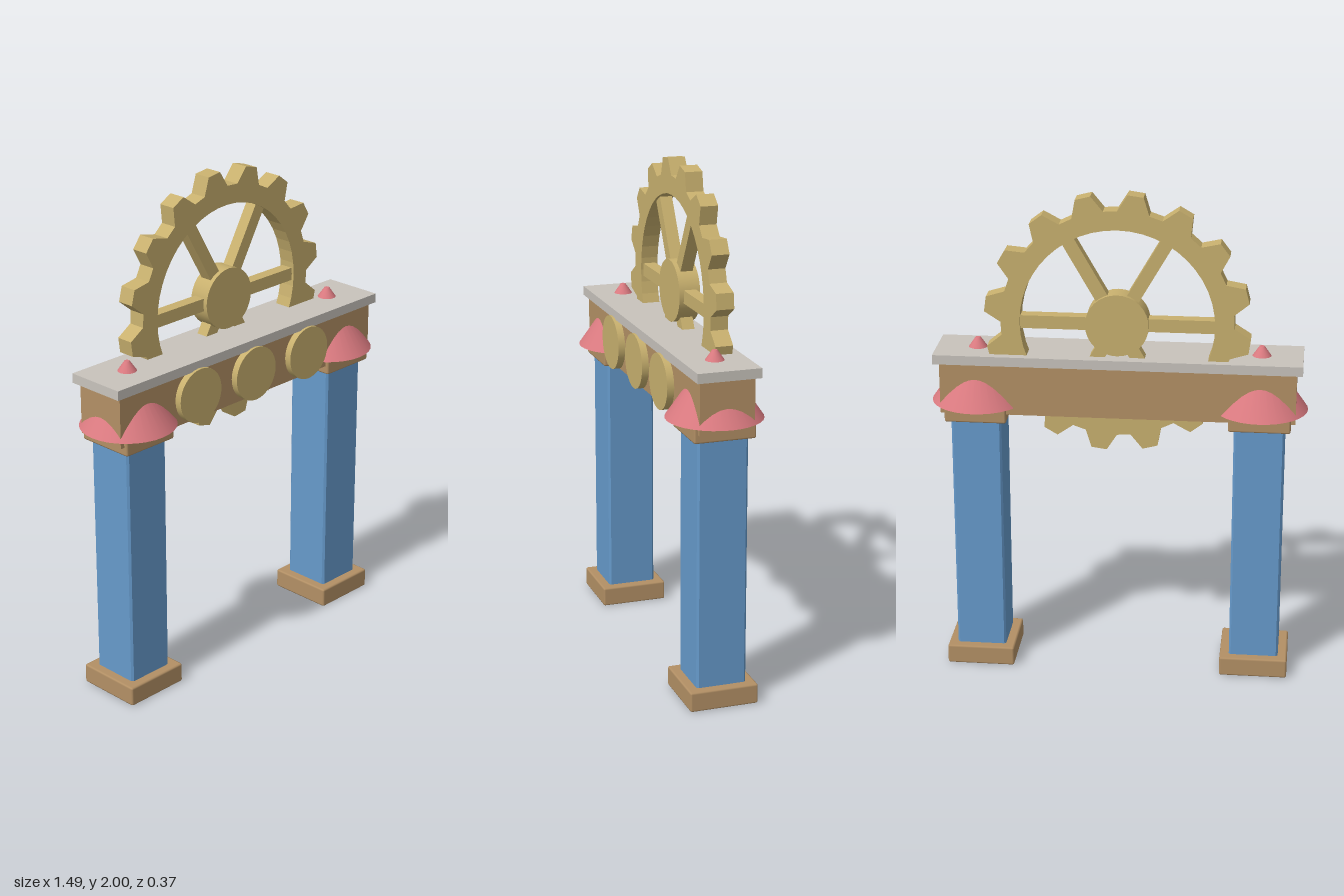
import * as THREE from 'three';
import { RoundedBoxGeometry } from 'three/addons/geometries/RoundedBoxGeometry.js';

const material = (name, color) => {
  const m = new THREE.MeshStandardMaterial({ color });
  m.name = name;
  return m;
};

export function createModel() {
  const model = new THREE.Group();
  model.name = 'gearArch';
  const wood = material('wood', 0xb39065);
  const brass = material('brass', 0xc8b06e);
  const blue = material('blue', 0x669acb);
  const pink = material('pink', 0xda7a80);
  const stone = material('stone', 0xc8c3bc);

  const add = (parent, name, geometry, mat, x, y, z) => {
    const mesh = new THREE.Mesh(geometry, mat);
    mesh.name = name;
    mesh.position.set(x, y, z);
    parent.add(mesh);
    return mesh;
  };

  // Square column section with slightly cut corners
  const h = 0.1, c = 0.008;
  const section = new THREE.Shape([
    [h, c - h], [h, h - c], [h - c, h], [c - h, h],
    [-h, h - c], [-h, c - h], [c - h, -h], [h - c, -h],
  ].map(([x, y]) => new THREE.Vector2(x, y)));
  const columnGeometry = new THREE.ExtrudeGeometry(section, { depth: 1.0, bevelEnabled: false });
  columnGeometry.rotateX(-Math.PI / 2);

  // Two pillars, each crowned by a cone that pokes through the beam
  for (const side of [-1, 1]) {
    const pillar = new THREE.Group();
    pillar.name = side > 0 ? 'leftPillar' : 'rightPillar';
    pillar.position.x = side * 0.56;
    model.add(pillar);
    add(pillar, 'base', new RoundedBoxGeometry(0.275, 0.08, 0.275, 1, 0.008), wood, 0, 0.04, 0);
    add(pillar, 'column', columnGeometry, blue, 0, 0.075, 0);
    add(pillar, 'capital', new RoundedBoxGeometry(0.245, 0.065, 0.245, 1, 0.008), wood, 0, 1.097, 0);
    add(pillar, 'cone', new THREE.CylinderGeometry(0.01, 0.187, 0.257, 32), pink, 0, 1.2555, 0);
  }

  // Beam and its capping slab
  add(model, 'beam', new THREE.BoxGeometry(1.4, 0.21, 0.216), wood, 0, 1.205, 0);
  add(model, 'slab', new THREE.BoxGeometry(1.446, 0.038, 0.25), stone, 0, 1.326, 0);

  // Three discs along the front of the beam
  const discGeometry = new THREE.CylinderGeometry(0.11, 0.11, 0.05, 32).rotateX(Math.PI / 2);
  for (const x of [-0.305, 0, 0.305]) add(model, 'frontDisc', discGeometry, brass, x, 1.205, 0.111);

  // Large gear standing through the beam
  const gear = new THREE.Group();
  gear.name = 'gear';
  gear.position.set(0, 1.48, -0.056);
  model.add(gear);

  const teeth = 16, root = 0.455, tip = 0.52;
  const outline = [];
  for (let i = 0; i < teeth; i++) {
    for (const [t, r] of [[0, root], [0.2, tip], [0.5, tip], [0.7, root]]) {
      const a = ((i + t) / teeth) * Math.PI * 2;
      outline.push(new THREE.Vector2(Math.cos(a) * r, Math.sin(a) * r));
    }
  }
  const rimShape = new THREE.Shape(outline);
  rimShape.holes.push(new THREE.Path().absarc(0, 0, 0.38, 0, Math.PI * 2, true));
  const rimGeometry = new THREE.ExtrudeGeometry(rimShape, { depth: 0.07, bevelEnabled: false, curveSegments: 24 });
  add(gear, 'toothedRim', rimGeometry, brass, 0, 0, -0.035);

  add(gear, 'hub', new THREE.CylinderGeometry(0.124, 0.124, 0.085, 32).rotateX(Math.PI / 2), brass, 0, 0, 0);
  for (let i = 0; i < 6; i++) {
    const a = (i * Math.PI) / 3;
    const spoke = add(gear, 'spoke', new THREE.BoxGeometry(0.3, 0.052, 0.05), brass,
      Math.cos(a) * 0.245, Math.sin(a) * 0.245, 0);
    spoke.rotation.z = a;
  }
  return model;
}
